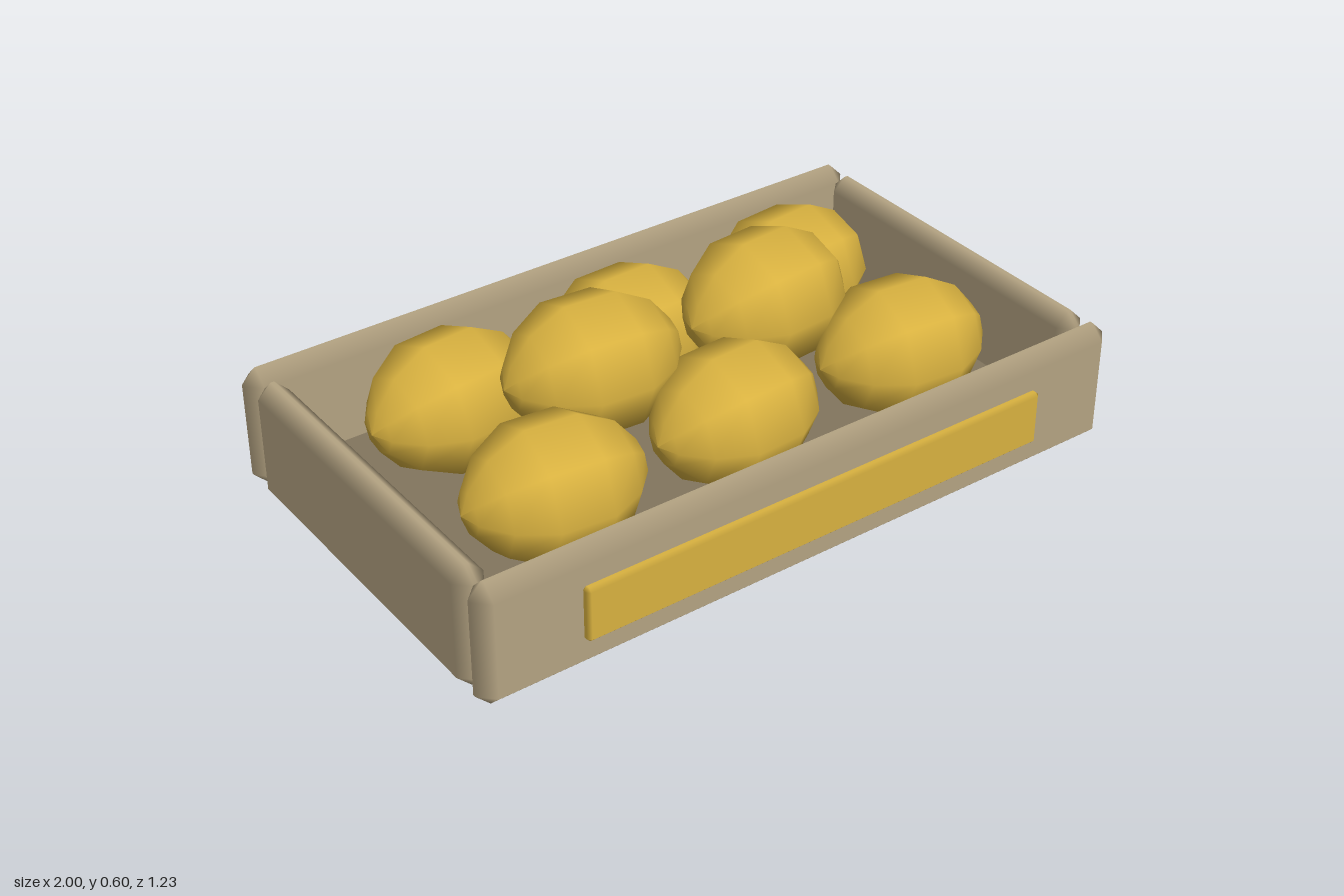
import * as THREE from 'three';
import { ConvexGeometry } from 'three/addons/geometries/ConvexGeometry.js';

// Box with 45-degree chamfers and softly blended edge normals
function chamferBox(w, h, d, c) {
  const half = [w / 2, h / 2, d / 2];
  const points = [];
  for (let axis = 0; axis < 3; axis++)
    for (const sx of [-1, 1]) for (const sy of [-1, 1]) for (const sz of [-1, 1]) {
      const p = [sx, sy, sz].map((s, i) => s * (half[i] - (i === axis ? 0 : c)));
      points.push(new THREE.Vector3(...p));
    }
  const geo = new ConvexGeometry(points);
  const pos = geo.attributes.position, nor = geo.attributes.normal;
  for (let i = 0; i < pos.count; i++) {
    const p = [pos.getX(i), pos.getY(i), pos.getZ(i)];
    nor.setXYZ(i, ...p.map((v, k) => (Math.abs(v) > half[k] - c / 2 ? Math.sign(v) : 0)));
  }
  return geo;
}

export function createModel() {
  const group = new THREE.Group();
  const mat = (name, color) => new THREE.MeshStandardMaterial({ name, color });
  const wood = mat('pale wood', 0xb5a483);
  const darkWood = mat('dark wood', 0x83765e);
  const yellow = mat('lemon yellow', 0xd9b240);

  const add = (name, geo, material, x, y, z) => {
    const mesh = new THREE.Mesh(geo, material);
    mesh.name = name;
    mesh.position.set(x, y, z);
    group.add(mesh);
    return mesh;
  };

  // Crate
  add('floor', new THREE.BoxGeometry(1.82, 0.07, 1.03), darkWood, 0, 0.035, -0.01);
  const longBoard = chamferBox(2, 0.36, 0.09, 0.04);
  add('frontBoard', longBoard, wood, 0, 0.18, 0.545);
  add('backBoard', longBoard, wood, 0, 0.18, -0.57);
  const sideBoard = chamferBox(0.09, 0.36, 1.03, 0.04);
  add('leftBoard', sideBoard, wood, 0.955, 0.18, -0.01);
  add('rightBoard', sideBoard, wood, -0.955, 0.18, -0.01);
  add('frontLabel', chamferBox(1.44, 0.16, 0.03, 0.01), yellow, 0, 0.185, 0.6);

  // Lemons: eight-sided, long axis along x
  const profile = [[0, -0.255], [0.06, -0.235], [0.135, -0.175], [0.19, -0.075],
    [0.19, 0.075], [0.135, 0.175], [0.06, 0.235], [0, 0.255]];
  const lemon = new THREE.LatheGeometry(profile.map(p => new THREE.Vector2(...p)), 8);
  lemon.rotateZ(-Math.PI / 2);
  const rows = [
    { y: 0.277, z: -0.255, xs: [-0.56, 0, 0.56], yaw: [0.1, 0.04, 0.1] },
    { y: 0.277, z: 0.228, xs: [-0.56, 0, 0.56], yaw: [-0.1, 0.06, -0.1] },
    { y: 0.41, z: -0.012, xs: [-0.28, 0.278], yaw: [-0.08, 0.08] },
  ];
  for (const row of rows)
    row.xs.forEach((x, i) => {
      add('lemon', lemon, yellow, x, row.y, row.z).rotation.y = row.yaw[i];
    });
  return group;
}
